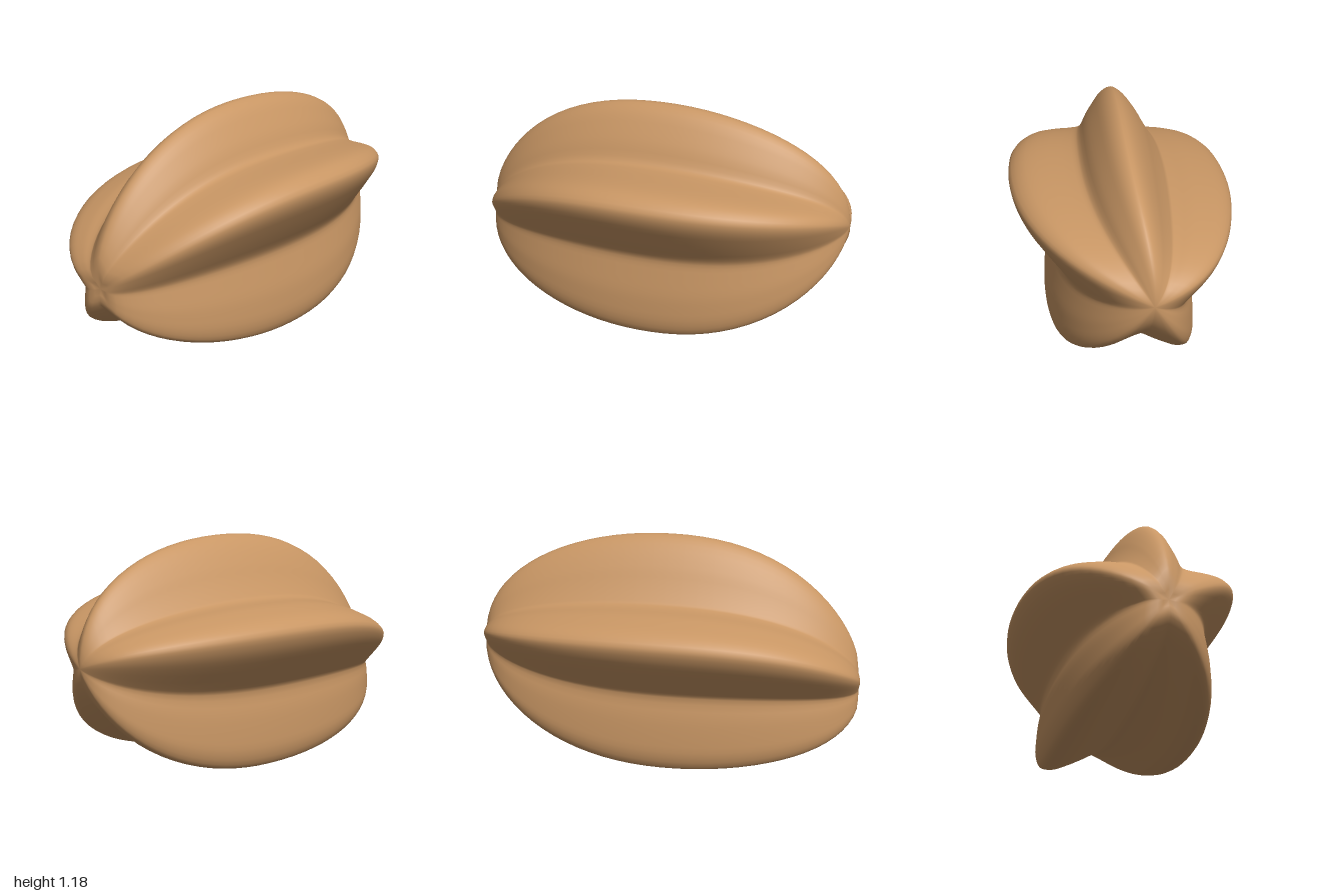
import * as THREE from 'three';

// Five-lobed cross-section, clockwise from the top lobe
const SECTION = [
  [0, 1.18], [0.06, 1.15], [0.115, 1.075], [0.16, 1.0], [0.2, 0.92], [0.24, 0.905],
  [0.42, 0.903], [0.51, 0.888], [0.57, 0.84], [0.56, 0.77], [0.5, 0.67], [0.43, 0.57],
  [0.38, 0.5], [0.365, 0.46], [0.375, 0.39], [0.395, 0.28], [0.402, 0.2], [0.402, 0.1],
  [0.375, 0.03], [0.305, 0.017], [0.2, 0.06], [0.1, 0.105], [0.035, 0.128], [-0.005, 0.13],
  [-0.1, 0.08], [-0.19, 0.035], [-0.275, 0.003], [-0.345, 0.012], [-0.375, 0.085],
  [-0.375, 0.18], [-0.365, 0.3], [-0.35, 0.41], [-0.38, 0.455], [-0.5, 0.595],
  [-0.555, 0.675], [-0.573, 0.745], [-0.52, 0.795], [-0.42, 0.828], [-0.345, 0.845],
  [-0.24, 0.86], [-0.215, 0.89], [-0.17, 0.965], [-0.13, 1.04], [-0.06, 1.14],
];
const AXIS_Y = 0.53;   // height of the core at mid length
const AROUND = 132;
const RINGS = 40;

// Places a scaled section point; c runs from 1 at the front to -1 at the back
function place(px, py, c) {
  const radius = Math.sqrt(Math.max(0, 1 - Math.abs(c) ** 2.1));
  const x = px * radius;
  const y = AXIS_Y + py * radius - 0.02 * c;
  const bend = c ** 3;
  if (c < 0) return [x + 0.08 * bend, y - 0.06 * bend, c];   // back end bends up and aside
  // Front end droops, dimples at the core and is longer on the -x lobes
  const dimple = 1 - 0.03 * Math.exp(-((radius / 0.15) ** 2));
  return [x, y - 0.09 * bend, 1.005 * c * dimple * (1 - 0.19 * x)];
}

function createFruitGeometry() {
  const curve = new THREE.CatmullRomCurve3(
    SECTION.map(([x, y]) => new THREE.Vector3(x, y - AXIS_Y, 0)), true, 'centripetal');
  const outline = [];
  for (let j = 0; j < AROUND; j++) outline.push(curve.getPoint(j / AROUND));

  const positions = [...place(0, 0, 1)];            // front pole
  for (let i = 1; i < RINGS; i++) {
    const c = Math.cos((i / RINGS) * Math.PI);
    for (const p of outline) positions.push(...place(p.x, p.y, c));
  }
  positions.push(...place(0, 0, -1));               // back pole

  const index = [];
  const at = (i, j) => 1 + (i - 1) * AROUND + (j % AROUND);
  const last = positions.length / 3 - 1;
  for (let j = 0; j < AROUND; j++) {
    index.push(0, at(1, j + 1), at(1, j));
    for (let i = 1; i < RINGS - 1; i++) {
      const a = at(i, j), b = at(i, j + 1), d = at(i + 1, j), e = at(i + 1, j + 1);
      index.push(a, b, d, b, e, d);
    }
    index.push(last, at(RINGS - 1, j), at(RINGS - 1, j + 1));
  }

  const geometry = new THREE.BufferGeometry();
  geometry.setAttribute('position', new THREE.Float32BufferAttribute(positions, 3));
  geometry.setIndex(index);
  geometry.computeVertexNormals();
  return geometry;
}

export function createModel() {
  const group = new THREE.Group();
  group.name = 'starFruit';
  const skin = new THREE.MeshStandardMaterial({ color: 0xc89664 });
  skin.name = 'fruit skin';
  const body = new THREE.Mesh(createFruitGeometry(), skin);
  body.name = 'fruitBody';
  group.add(body);
  return group;
}
